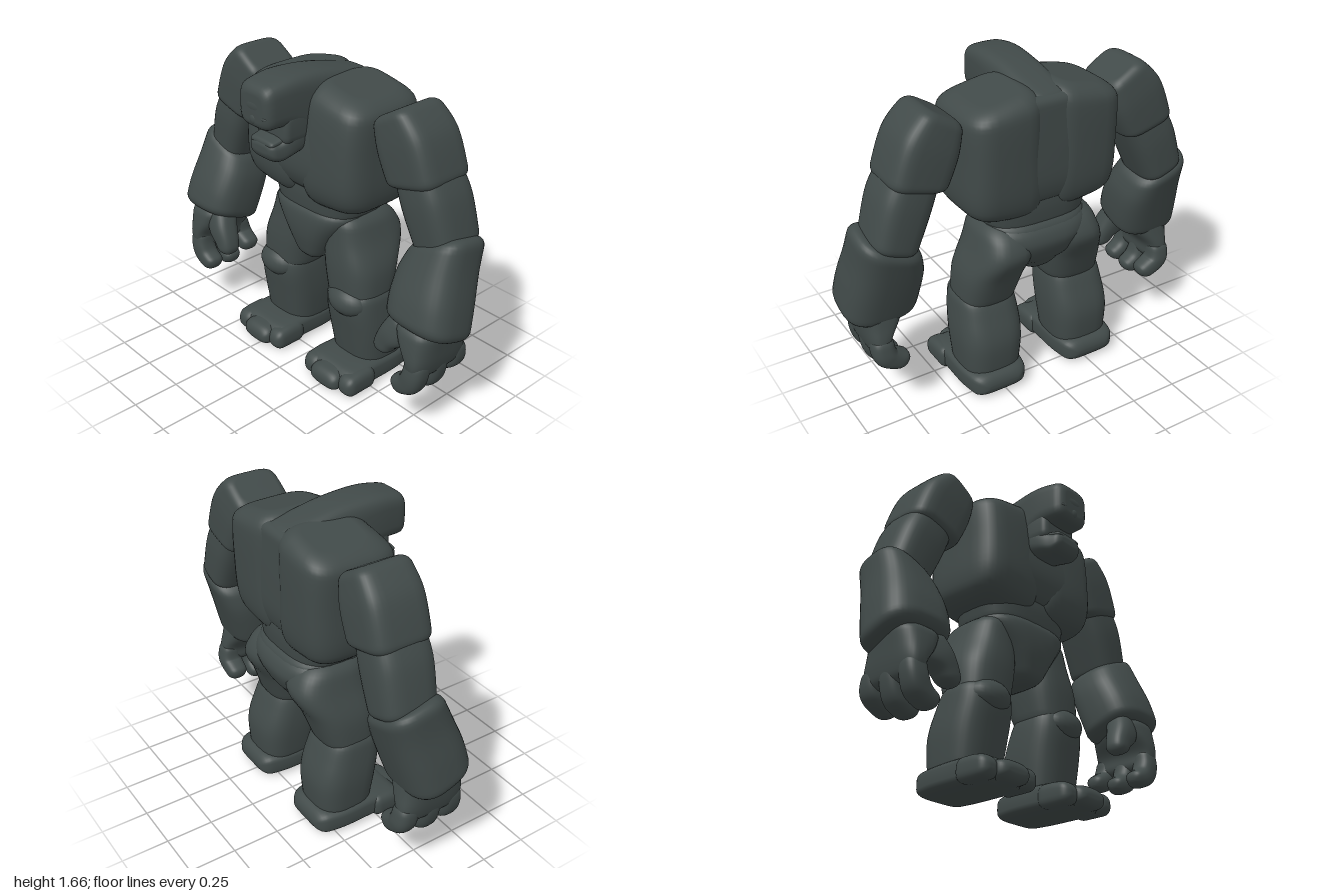
import * as THREE from 'three';

const stone = new THREE.MeshStandardMaterial({ color: 0x414a49 });
stone.name = 'darkStone';

// Smooth interpolation through rows of numbers
function sample(rows, t) {
  const f = t * (rows.length - 1), i = Math.min(Math.floor(f), rows.length - 2), u = f - i;
  const at = k => rows[Math.max(0, Math.min(rows.length - 1, k))];
  return at(i).map((b, k) => {
    const a = at(i - 1)[k], c = at(i + 1)[k], d = at(i + 2)[k];
    return b + 0.5 * u * (c - a + u * (2 * a - 5 * b + 4 * c - d + u * (3 * (b - c) + d - a)));
  });
}

const spow = (v, e) => Math.sign(v) * Math.pow(Math.abs(v), e);

// Rounded-box loft. Section: [x, y, z, halfU, halfV, tiltU, tiltV].
// Runs downward (U = x, V = z), or with forward = true along +z (U = x, V = y).
function loft(group, name, sections, { r = 0.06, n = 3.6, forward = false } = {}) {
  const rows = sections.map(s => [...s, 0, 0].slice(0, 7));
  const N = 30, M = 36, rings = [], dist = [0];
  for (let i = 0; i <= N; i++) {
    rings.push(sample(rows, (1 - Math.cos(Math.PI * i / N)) / 2));
    if (i) dist.push(dist[i - 1] + Math.hypot(...[0, 1, 2].map(k => rings[i][k] - rings[i - 1][k])));
  }
  const pos = [], idx = [];
  rings.forEach(([x, y, z, hu, hv, a, b], i) => {
    const s = Math.min(dist[i], dist[N] - dist[i], r) / r;
    const inset = r * (1 - Math.sqrt(Math.max(0, 1 - (1 - s) ** 2)));
    const u = Math.max(hu - inset, hu * 0.12), v = Math.max(hv - inset, hv * 0.12);
    for (let j = 0; j < M; j++) {
      const t = j / M * Math.PI * 2;
      const p = u * spow(Math.cos(t), 2 / n), q = v * spow(Math.sin(t), 2 / n);
      pos.push(x + p * Math.cos(a),
        y + p * Math.sin(a) + q * (forward ? Math.cos(b) : Math.sin(b)),
        z + q * (forward ? -Math.sin(b) : Math.cos(b)));
    }
  });
  for (let i = 0; i < N; i++) for (let j = 0; j < M; j++) {
    const a = i * M + j, b = i * M + (j + 1) % M;
    idx.push(a, b, a + M, b, b + M, a + M);
  }
  // End caps
  const c0 = pos.length / 3, c1 = c0 + 1, last = N * M;
  pos.push(...rings[0].slice(0, 3), ...rings[N].slice(0, 3));
  for (let j = 0; j < M; j++) {
    const k = (j + 1) % M;
    idx.push(c0, k, j, c1, last + j, last + k);
  }
  const g = new THREE.BufferGeometry();
  g.setAttribute('position', new THREE.Float32BufferAttribute(pos, 3));
  g.setIndex(idx);
  g.computeVertexNormals();
  const mesh = new THREE.Mesh(g, stone);
  mesh.name = name;
  group.add(mesh);
}

// Stretched ball for small lumps
function lump(group, name, [x, y, z], [sx, sy, sz]) {
  const g = new THREE.SphereGeometry(1, 24, 16);
  g.scale(sx, sy, sz);
  const mesh = new THREE.Mesh(g, stone);
  mesh.position.set(x, y, z);
  mesh.name = name;
  group.add(mesh);
}

function part(parent, name) {
  const g = new THREE.Group();
  g.name = name;
  parent.add(g);
  return g;
}

export function createModel() {
  const model = new THREE.Group();
  model.name = 'stoneGiant';

  // Trunk
  const trunk = part(model, 'trunk');
  loft(trunk, 'waist', [[0, 1.12, -0.11, 0.32, 0.2], [0, 1, -0.11, 0.29, 0.205], [0, 0.87, -0.11, 0.26, 0.19]], { n: 3 });
  loft(trunk, 'pelvis', [[0, 0.95, -0.11, 0.27, 0.19], [0, 0.88, -0.115, 0.265, 0.22],
    [0, 0.76, -0.12, 0.175, 0.22], [0, 0.61, -0.09, 0.075, 0.15]], { r: 0.05, n: 3 });
  loft(trunk, 'seat', [[0, 0.94, -0.19, 0.26, 0.12], [0, 0.82, -0.215, 0.24, 0.145], [0, 0.66, -0.17, 0.13, 0.12]],
    { r: 0.07, n: 2.8 });
  loft(trunk, 'breastbone', [[0, 1.58, -0.15, 0.26, 0.18], [0, 1.49, -0.11, 0.28, 0.225],
    [0, 1.3, -0.097, 0.29, 0.245], [0, 1.14, -0.097, 0.29, 0.243], [0, 1.02, -0.11, 0.27, 0.2]], { r: 0.05, n: 4.5 });

  // Head, carried forward on a ridge that sinks into the back
  const head = part(model, 'head');
  loft(head, 'skull', [[-0.01, 1.47, -0.32, 0.1, 0.11], [-0.015, 1.475, -0.15, 0.12, 0.145],
    [-0.02, 1.48, 0.02, 0.125, 0.17], [-0.025, 1.53, 0.2, 0.125, 0.125], [-0.025, 1.52, 0.363, 0.112, 0.108]],
    { r: 0.045, n: 4, forward: true });
  loft(head, 'cheeks', [[-0.022, 1.42, 0.02, 0.12, 0.12], [-0.022, 1.42, 0.15, 0.122, 0.11],
    [-0.022, 1.4, 0.26, 0.116, 0.08]], { r: 0.03, n: 4, forward: true });
  loft(head, 'jaw', [[-0.022, 1.39, 0.06, 0.118, 0.11], [-0.022, 1.325, 0.2, 0.114, 0.075],
    [-0.022, 1.295, 0.27, 0.1, 0.058], [-0.022, 1.305, 0.325, 0.085, 0.042]], { r: 0.03, n: 3.2, forward: true });
  loft(head, 'lowerLip', [[-0.022, 1.352, 0.22, 0.09, 0.024], [-0.022, 1.335, 0.32, 0.08, 0.016]],
    { r: 0.015, n: 3, forward: true });
  lump(head, 'nose', [-0.025, 1.465, 0.35], [0.028, 0.03, 0.018]);
  lump(head, 'brow', [-0.025, 1.53, 0.345], [0.1, 0.04, 0.02]);

  for (const s of [-1, 1]) {
    const side = s > 0 ? 'left' : 'right';
    const m = rows => rows.map(([x, y, z, u, v, a = 0, b = 0]) => [x * s, y, z, u, v, a * s, b]);

    lump(head, side + 'Eye', [-0.025 + s * 0.07, 1.483, 0.352], [0.024, 0.01, 0.012]);

    // Chest half: shoulder, pectoral and back mass
    loft(trunk, side + 'Chest', m([[0.215, 1.585, -0.125, 0.185, 0.21, -0.2], [0.215, 1.49, -0.112, 0.2, 0.242, -0.1],
      [0.215, 1.3, -0.103, 0.2, 0.252], [0.205, 1.1, -0.1, 0.21, 0.246, 0.06], [0.21, 0.965, -0.11, 0.18, 0.2, 0.12]]),
      { r: 0.075, n: 3.8 });

    // Arm
    const arm = part(model, side + 'Arm');
    loft(arm, 'shoulder', m([[0.49, 1.555, -0.11, 0.11, 0.145, 0.55], [0.57, 1.42, -0.117, 0.155, 0.163, 0.45],
      [0.65, 1.23, -0.122, 0.15, 0.163, 0.25]]), { r: 0.04, n: 4.2 });
    loft(arm, 'upperArm', m([[0.62, 1.32, -0.12, 0.12, 0.14, 0.4], [0.7, 1.16, -0.125, 0.135, 0.155, 0.4],
      [0.78, 0.94, -0.135, 0.12, 0.145, 0.35]]), { r: 0.04, n: 3.2 });
    loft(arm, 'forearm', m([[0.785, 0.99, -0.14, 0.16, 0.15, 0.38, 0.22], [0.775, 0.85, -0.085, 0.178, 0.165, 0.22, 0.25],
      [0.79, 0.7, -0.03, 0.19, 0.175, 0.08, 0.3], [0.808, 0.56, 0.01, 0.192, 0.173, -0.02, 0.34]]), { r: 0.055, n: 2.9 });

    // Hand with three curled fingers and a thumb
    const hand = part(arm, 'hand');
    loft(hand, 'palm', m([[0.8, 0.62, -0.005, 0.13, 0.15], [0.82, 0.52, -0.005, 0.1, 0.17],
      [0.845, 0.43, -0.01, 0.065, 0.18], [0.835, 0.34, -0.015, 0.055, 0.165]]), { r: 0.05, n: 3 });
    [[0.113, 0.225], [-0.015, 0.215], [-0.15, 0.25]].forEach(([z, y], i) =>
      loft(hand, 'finger' + (i + 1), m([[0.845, 0.46, z * 0.9, 0.055, 0.055], [0.842, 0.37, z, 0.06, 0.06, -0.15],
        [0.81, y + 0.075, z, 0.06, 0.06, -0.6], [0.72, y + 0.03, z, 0.046, 0.054, -1]]), { r: 0.045, n: 2.6 }));
    loft(hand, 'thumb', m([[0.75, 0.61, 0.03, 0.09, 0.09, -0.5], [0.69, 0.52, 0.075, 0.08, 0.075, -0.55],
      [0.64, 0.45, 0.09, 0.062, 0.062, -0.3], [0.613, 0.382, 0.095, 0.048, 0.055, -0.1]]), { r: 0.045, n: 2.6 });

    // Leg
    const leg = part(model, side + 'Leg');
    loft(leg, 'thigh', m([[0.175, 0.93, -0.12, 0.12, 0.16], [0.2, 0.79, -0.155, 0.14, 0.205],
      [0.235, 0.63, -0.115, 0.16, 0.175], [0.26, 0.43, -0.085, 0.145, 0.135]]), { r: 0.07, n: 2.8 });
    loft(leg, 'shin', m([[0.262, 0.54, -0.08, 0.145, 0.13], [0.262, 0.43, -0.1, 0.162, 0.162],
      [0.268, 0.27, -0.137, 0.168, 0.174], [0.272, 0.06, -0.15, 0.15, 0.15]]), { r: 0.06, n: 3 });
    lump(leg, 'kneecap', [s * 0.27, 0.465, 0.005], [0.125, 0.085, 0.09]);

    // Foot, narrow at the heel, with three blunt toes
    const foot = part(leg, 'foot');
    loft(foot, 'sole', m([[0.277, 0.064, -0.35, 0.14, 0.064], [0.277, 0.068, -0.2, 0.168, 0.068],
      [0.277, 0.07, 0, 0.17, 0.07], [0.277, 0.06, 0.16, 0.182, 0.06]]), { r: 0.06, n: 4, forward: true });
    [[0.15, 0.055, 0.175], [0.275, 0.1, 0.205], [0.41, 0.055, 0.175]].forEach(([x, w, z], i) =>
      loft(foot, 'toe' + (i + 1), m([[x, 0.062, -0.03, w, 0.062], [x, 0.062, 0.08, w, 0.062], [x, 0.054, z, w, 0.052]]),
        { r: 0.045, n: 2.8, forward: true }));
  }
  return model;
}
